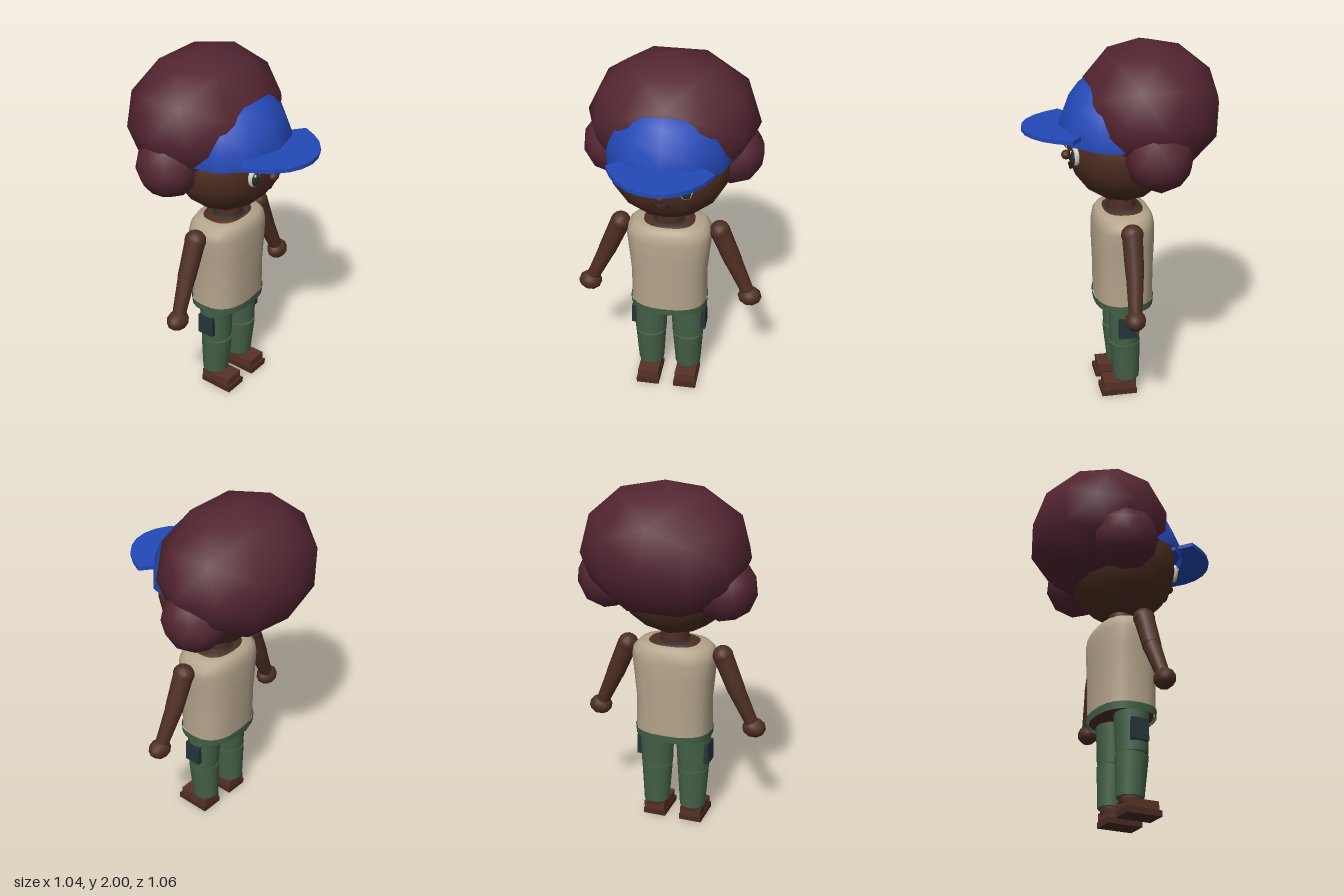
import * as THREE from 'three';

const mat = (name, color, side = THREE.FrontSide) => {
  const m = new THREE.MeshStandardMaterial({ color, side });
  m.name = name;
  return m;
};

export function createModel() {
  const root = new THREE.Group();
  root.name = 'capCharacter';

  const skin = mat('skin brown', 0x4e2e22);
  const hair = mat('hair maroon', 0x532531);
  const blue = mat('cap blue', 0x2449b8, THREE.DoubleSide);
  const cream = mat('shirt cream', 0xb5a58c, THREE.DoubleSide);
  const green = mat('trouser green', 0x446147, THREE.DoubleSide);
  const teal = mat('dark teal', 0x24343a);
  const leather = mat('shoe brown', 0x583226);
  const sole = mat('sole brown', 0x482a20);
  const white = mat('eye white', 0xd6cfbc);
  const lip = mat('mouth brown', 0x2c1712);

  const add = (name, geometry, material, x = 0, y = 0, z = 0) => {
    const m = new THREE.Mesh(geometry, material);
    m.name = name;
    m.position.set(x, y, z);
    root.add(m);
    return m;
  };
  // Faceted-outline ball stretched to three radii
  const ball = (name, material, p, r, detail = 1) => {
    const m = add(name, new THREE.IcosahedronGeometry(1, detail), material, ...p);
    m.scale.set(...r);
    return m;
  };
  // Tapered limb between two points, radius r0 at a and r1 at b
  const limb = (name, material, a, b, r0, r1, sides = 14) => {
    const A = new THREE.Vector3(...a), B = new THREE.Vector3(...b);
    const dir = A.clone().sub(B);
    const m = add(name, new THREE.CylinderGeometry(r0, r1, dir.length(), sides), material);
    m.position.copy(A).add(B).multiplyScalar(0.5);
    m.quaternion.setFromUnitVectors(new THREE.Vector3(0, 1, 0), dir.normalize());
    return m;
  };
  // Stack of rounded sections [y, half width, half depth], bottom to top
  const loft = (rows, n = 24, power = 2.5) => {
    const pos = [], idx = [];
    const bend = (v) => Math.sign(v) * Math.pow(Math.abs(v), 2 / power);
    for (const [y, rx, rz] of rows)
      for (let i = 0; i < n; i++) {
        const a = (i / n) * Math.PI * 2;
        pos.push(rx * bend(Math.cos(a)), y, rz * bend(Math.sin(a)));
      }
    for (let r = 0; r < rows.length - 1; r++)
      for (let i = 0; i < n; i++) {
        const a = r * n + i, b = r * n + (i + 1) % n;
        idx.push(a, a + n, b, b, a + n, b + n);
      }
    const g = new THREE.BufferGeometry();
    g.setAttribute('position', new THREE.Float32BufferAttribute(pos, 3));
    g.setIndex(idx);
    g.computeVertexNormals();
    return g;
  };

  // Head and hair
  ball('head', skin, [0, 1.45, 0], [0.33, 0.312, 0.293], 2);
  ball('hair', hair, [0, 1.64, -0.145], [0.46, 0.36, 0.385]);
  for (const s of [1, -1]) {
    const puff = ball('hairPuff', hair, [s * 0.32, 1.46, -0.135], [0.17, 0.175, 0.178]);
    puff.rotation.z = s * 0.33;
  }

  // Face
  for (const s of [1, -1]) {
    const eye = new THREE.Group();
    eye.name = 'eye';
    eye.position.set(s * 0.128, 1.435, 0.264);
    eye.rotation.y = s * 0.2;
    const disc = (name, m, x, y, z, rx, ry, rz) => {
      const e = new THREE.Mesh(new THREE.SphereGeometry(1, 16, 10), m);
      e.name = name;
      e.position.set(x, y, z);
      e.scale.set(rx, ry, rz);
      eye.add(e);
    };
    disc('eyeWhite', white, 0, 0, 0, 0.036, 0.053, 0.022);
    disc('iris', teal, 0, -0.002, 0.008, 0.028, 0.043, 0.019);
    disc('eyeGlint', white, -0.009, 0.02, 0.022, 0.007, 0.009, 0.005);
    root.add(eye);
  }
  ball('nose', skin, [0, 1.4, 0.297], [0.029, 0.026, 0.026]);
  const lipLine = (pts) => new THREE.TubeGeometry(
    new THREE.CatmullRomCurve3(pts.map((p) => new THREE.Vector3(...p))), 16, 0.005, 6);
  add('upperLip', lipLine([[-0.047, 1.338, 0.268], [-0.016, 1.346, 0.28], [0, 1.342, 0.281],
    [0.016, 1.346, 0.28], [0.047, 1.338, 0.268]]), lip);
  add('lowerLip', lipLine([[-0.035, 1.334, 0.27], [0, 1.323, 0.275], [0.035, 1.334, 0.27]]), lip);

  // Cap crown and brim
  const crown = add('capCrown',
    new THREE.SphereGeometry(1, 12, 6, 0, Math.PI * 2, 0, Math.PI / 2), blue, 0, 1.5, 0);
  crown.scale.set(0.345, 0.365, 0.34);
  const half = [[0.07, 0.518], [0.135, 0.488], [0.195, 0.438], [0.24, 0.375], [0.278, 0.3], [0.15, 0.2]];
  const outline = [[0, 0.528], ...half, ...half.slice().reverse().map(([x, z]) => [-x, z])];
  const brim = add('capBrim', new THREE.ExtrudeGeometry(
    new THREE.Shape(outline.map(([x, z]) => new THREE.Vector2(x, z))),
    { depth: 0.022, bevelEnabled: false }), blue, 0, 1.567, 0);
  brim.rotation.x = Math.PI / 2;

  // Neck, collar ring and body
  add('neck', new THREE.CylinderGeometry(0.075, 0.08, 0.14, 14), skin, 0, 1.13, 0);
  const ring = add('neckRing', new THREE.TorusGeometry(0.083, 0.008, 6, 20), teal, 0, 1.088, 0);
  ring.rotation.x = Math.PI / 2;
  add('upperChest', loft([[1.05, 0.17, 0.13], [1.08, 0.15, 0.115], [1.09, 0.1, 0.08], [1.092, 0, 0]]), skin);
  add('tankTop', loft([[0.57, 0.212, 0.16], [0.75, 0.21, 0.162], [0.9, 0.224, 0.167],
    [1.0, 0.234, 0.166], [1.045, 0.226, 0.158], [1.075, 0.195, 0.14], [1.084, 0.14, 0.108]]), cream, 0, 0, -0.005);
  add('waistBand', loft([[0.535, 0.214, 0.163], [0.576, 0.217, 0.166]]), green, 0, 0, -0.005);
  add('hips', loft([[0.545, 0, 0], [0.545, 0.2, 0.15], [0.6, 0.2, 0.15]]), skin, 0, 0, -0.005);

  for (const s of [1, -1]) {
    // Arms
    const elbow = [s * 0.355, 0.835, -0.004];
    ball('shoulder', skin, [s * 0.274, 1.03, -0.006], [0.056, 0.056, 0.06], 2);
    limb('upperArm', skin, [s * 0.274, 1.03, -0.006], elbow, 0.056, 0.05);
    limb('forearm', skin, elbow, [s * 0.445, 0.64, 0.01], 0.048, 0.036);
    ball('hand', skin, [s * 0.454, 0.62, 0.012], [0.067, 0.056, 0.056]);

    // Legs, with a small step at the knee
    const x = s * 0.108;
    limb('upperLeg', green, [x, 0.56, 0], [x, 0.325, 0.003], 0.1, 0.09).scale.z = 0.92;
    limb('lowerLeg', green, [x, 0.319, 0.002], [x, 0.092, -0.008], 0.088, 0.073);
    add('pocket', new THREE.BoxGeometry(0.036, 0.118, 0.096), teal, s * 0.193, 0.436, 0.002)
      .rotation.z = s * 0.03;

    // Shoes
    limb('ankle', skin, [x, 0.11, -0.008], [x, 0.07, -0.004], 0.062, 0.062);
    add('shoeUpper', new THREE.BoxGeometry(0.12, 0.046, 0.18), leather, x, 0.055, 0.036);
    add('shoeSole', new THREE.BoxGeometry(0.13, 0.032, 0.198), sole, x, 0.016, 0.042);
  }
  return root;
}
